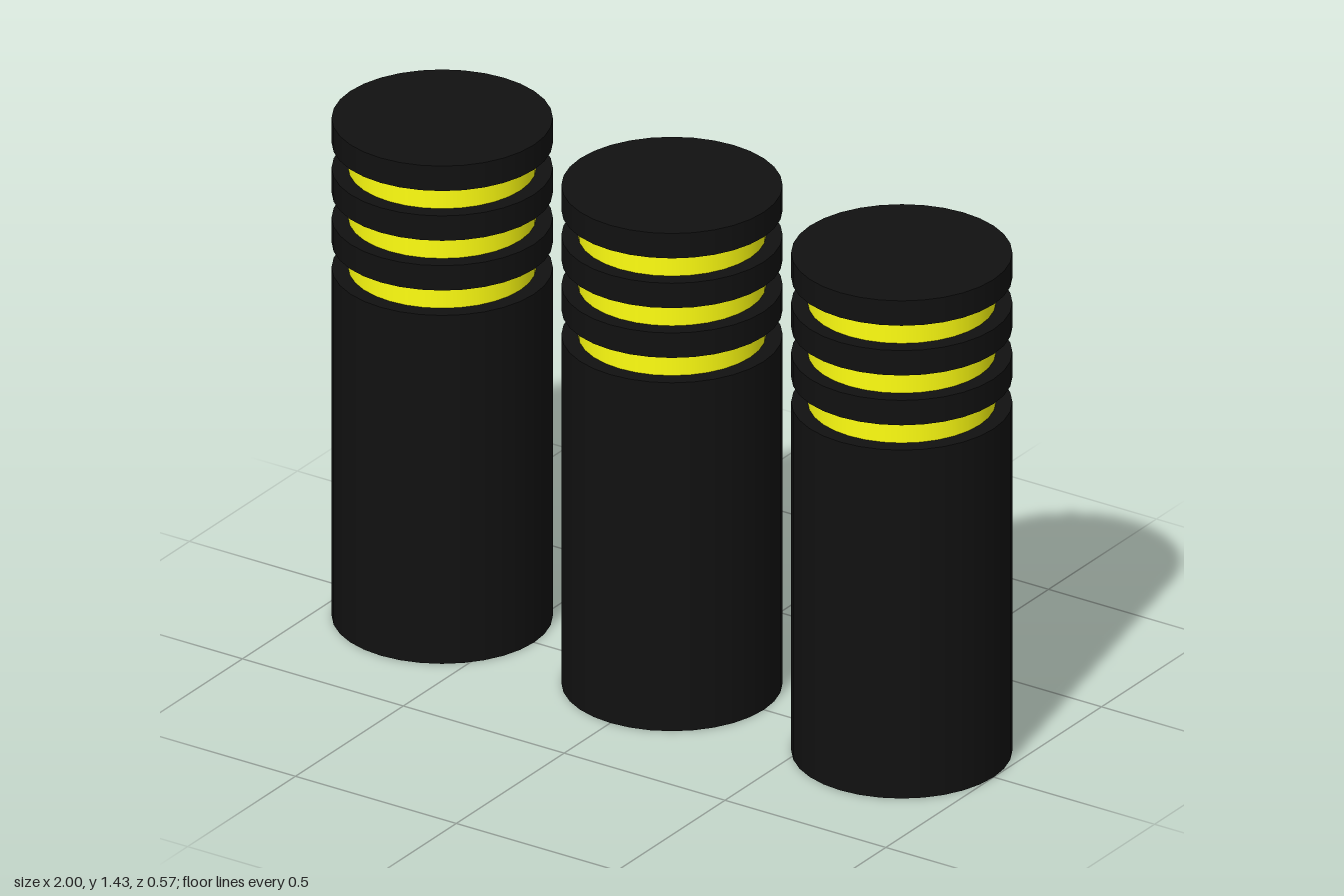
import * as THREE from 'three';

const RADIUS = 2 / 7;          // post and ring radius
const CORE_RADIUS = 0.243;     // recessed reflective core
const BODY_HEIGHT = 1;
const STEP = 1 / 14;           // height of each ring and each gap
const SPACING = 5 / 7;         // distance between posts
const SEGMENTS = 32;

const black = new THREE.MeshStandardMaterial({ color: 0x111111 });
const yellow = new THREE.MeshStandardMaterial({ color: 0xffff11 });

// Upright cylinder standing on the given height
function cylinder(name, radius, height, bottom, material) {
  const mesh = new THREE.Mesh(
    new THREE.CylinderGeometry(radius, radius, height, SEGMENTS),
    material
  );
  mesh.name = name;
  mesh.position.y = bottom + height / 2;
  return mesh;
}

function createBollard(name) {
  const bollard = new THREE.Group();
  bollard.name = name;

  bollard.add(cylinder('post', RADIUS, BODY_HEIGHT, 0, black));

  // Alternating yellow bands and black rings, the last ring being the cap
  for (let i = 0; i < 3; i++) {
    const base = BODY_HEIGHT + i * 2 * STEP;
    bollard.add(cylinder(`reflectiveBand${i + 1}`, CORE_RADIUS, STEP, base, yellow));
    bollard.add(cylinder(i < 2 ? `ring${i + 1}` : 'cap', RADIUS, STEP, base + STEP, black));
  }
  return bollard;
}

export function createModel() {
  const model = new THREE.Group();
  model.name = 'bollards';
  ['rightBollard', 'middleBollard', 'leftBollard'].forEach((name, i) => {
    const bollard = createBollard(name);
    bollard.position.x = (i - 1) * SPACING;
    model.add(bollard);
  });
  return model;
}
